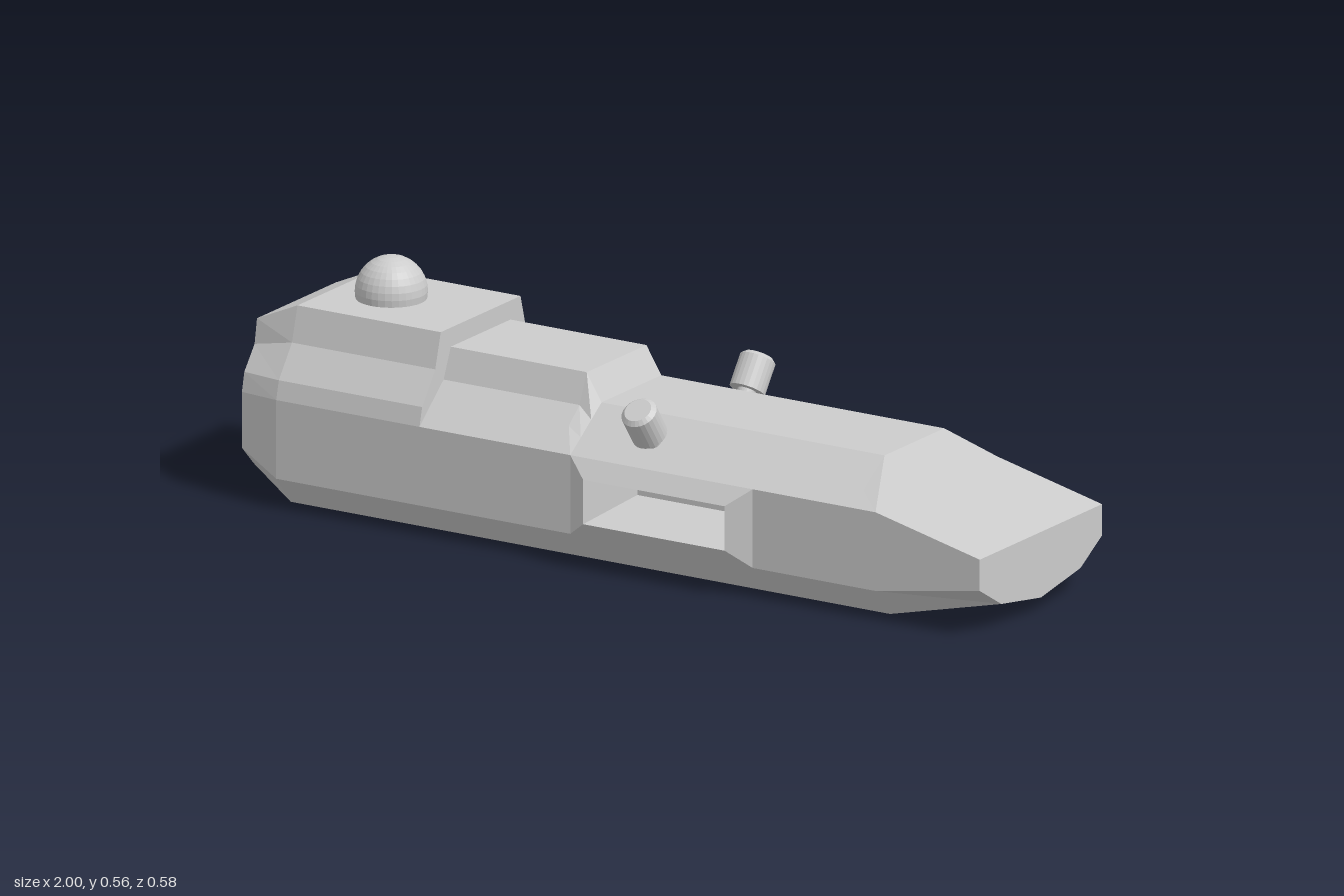
import * as THREE from 'three';

const hullGrey = new THREE.MeshStandardMaterial({ color: 0xcccccc, flatShading: true });
hullGrey.name = 'hullGrey';

// Collects flat-shaded triangles, dropping collapsed ones
function faceBuilder() {
  const pos = [];
  const tri = (a, b, c) => {
    const [p, q, r] = [a, b, c].map((v) => new THREE.Vector3(...v));
    if (q.clone().sub(p).cross(r.clone().sub(p)).length() < 1e-7) return;
    pos.push(...a, ...b, ...c);
  };
  const quad = (a, b, c, d) => { tri(a, b, c); tri(a, c, d); };
  const build = (name) => {
    const g = new THREE.BufferGeometry();
    g.setAttribute('position', new THREE.Float32BufferAttribute(pos, 3));
    g.computeVertexNormals();
    const m = new THREE.Mesh(g, hullGrey);
    m.name = name;
    return m;
  };
  return { tri, quad, build };
}

// Half cross-sections as [z, y], from roof edge down to keel line
const lower = [[0.256, 0.256], [0.256, 0.07], [0.195, 0], [0, 0]];
const main = [[0.125, 0.347], [0.168, 0.317], [0.212, 0.286], ...lower];
const raised = [[0.125, 0.412], [0.155, 0.342], [0.2, 0.304], ...lower];
const rear = [[0.167, 0.457], [0.19, 0.375], [0.245, 0.3], ...lower];
const stern = [[0.165, 0.408], [0.175, 0.35], [0.218, 0.295],
  [0.228, 0.25], [0.228, 0.118], [0.18, 0.07], [0, 0.07]];
const shoulder = [lower[0], lower[0], lower[0], ...lower];
const bowTop = [0.256, 0.19];
const bow = [bowTop, bowTop, bowTop, bowTop, [0.256, 0.116], [0.165, 0.062], [0, 0.035]];
const BAY = [-0.1, 0.39];

function makeHull() {
  const f = faceBuilder();
  const sections = [
    [-1, stern], [-0.89, rear], [-0.505, rear], [-0.505, raised], [-0.14, raised],
    [BAY[0], main], [BAY[1], main], [0.66, main], [0.72, shoulder], [1, bow],
  ];
  const rings = sections.map(([x, half]) => [
    ...half.map(([z, y]) => [x, y, z]),
    ...half.slice(0, -1).reverse().map(([z, y]) => [x, y, -z]),
  ]);
  const n = rings[0].length;
  for (let i = 0; i < rings.length - 1; i++) {
    for (let j = 0; j < n; j++) {
      // Leave the side walls open where the bays sit
      if (sections[i][0] === BAY[0] && (j === 3 || j === n - 5)) continue;
      const k = (j + 1) % n;
      f.quad(rings[i][j], rings[i][k], rings[i + 1][k], rings[i + 1][j]);
    }
  }
  // End caps fan out from the keel point
  const first = rings[0], last = rings[rings.length - 1], keel = 6;
  for (let s = 1; s < n - 1; s++) {
    const a = (keel + s) % n, b = (keel + s + 1) % n;
    f.tri(last[keel], last[a], last[b]);
    f.tri(first[keel], first[b], first[a]);
  }
  return f.build('hull');
}

// Flared side bay with a deep tapering recess
function makeBay(side) {
  const f = faceBuilder();
  const loops = [
    [BAY[0], BAY[1], 0.07, 0.256, 0.256],
    [-0.045, 0.335, 0.11, 0.215, 0.288],
    [-0.02, 0.31, 0.135, 0.195, 0.1],
  ].map(([x0, x1, y0, y1, z]) =>
    [[x0, y0], [x1, y0], [x1, y1], [x0, y1]].map(([x, y]) => [x, y, z * side]));
  const face = (a, b, c, d) => (side > 0 ? f.quad(a, b, c, d) : f.quad(d, c, b, a));
  for (let i = 0; i < 2; i++) {
    for (let j = 0; j < 4; j++) {
      const k = (j + 1) % 4;
      face(loops[i][j], loops[i][k], loops[i + 1][k], loops[i + 1][j]);
    }
  }
  face(...loops[2]);
  return f.build(side > 0 ? 'frontBay' : 'backBay');
}

// Canister on a thin stem, tilted outward from the roof slope
function makeTurret(side) {
  const profile = [[0, -0.06], [0.022, -0.06], [0.022, 0], [0.042, 0],
    [0.042, 0.077], [0.032, 0.086], [0, 0.086]].map(([r, y]) => new THREE.Vector2(r, y));
  const m = new THREE.Mesh(new THREE.LatheGeometry(profile, 24), hullGrey);
  m.position.set(0.08, 0.321, 0.204 * side);
  m.rotation.x = 0.62 * side;
  m.name = side > 0 ? 'frontTurret' : 'backTurret';
  return m;
}

export function createModel() {
  const model = new THREE.Group();
  model.name = 'armouredShip';
  model.add(makeHull());
  for (const side of [1, -1]) model.add(makeBay(side), makeTurret(side));

  // Sensor dome on the rear block
  const dome = new THREE.Mesh(new THREE.SphereGeometry(0.083, 32, 16), hullGrey);
  dome.position.set(-0.745, 0.473, 0);
  dome.name = 'dome';
  model.add(dome);
  return model;
}
